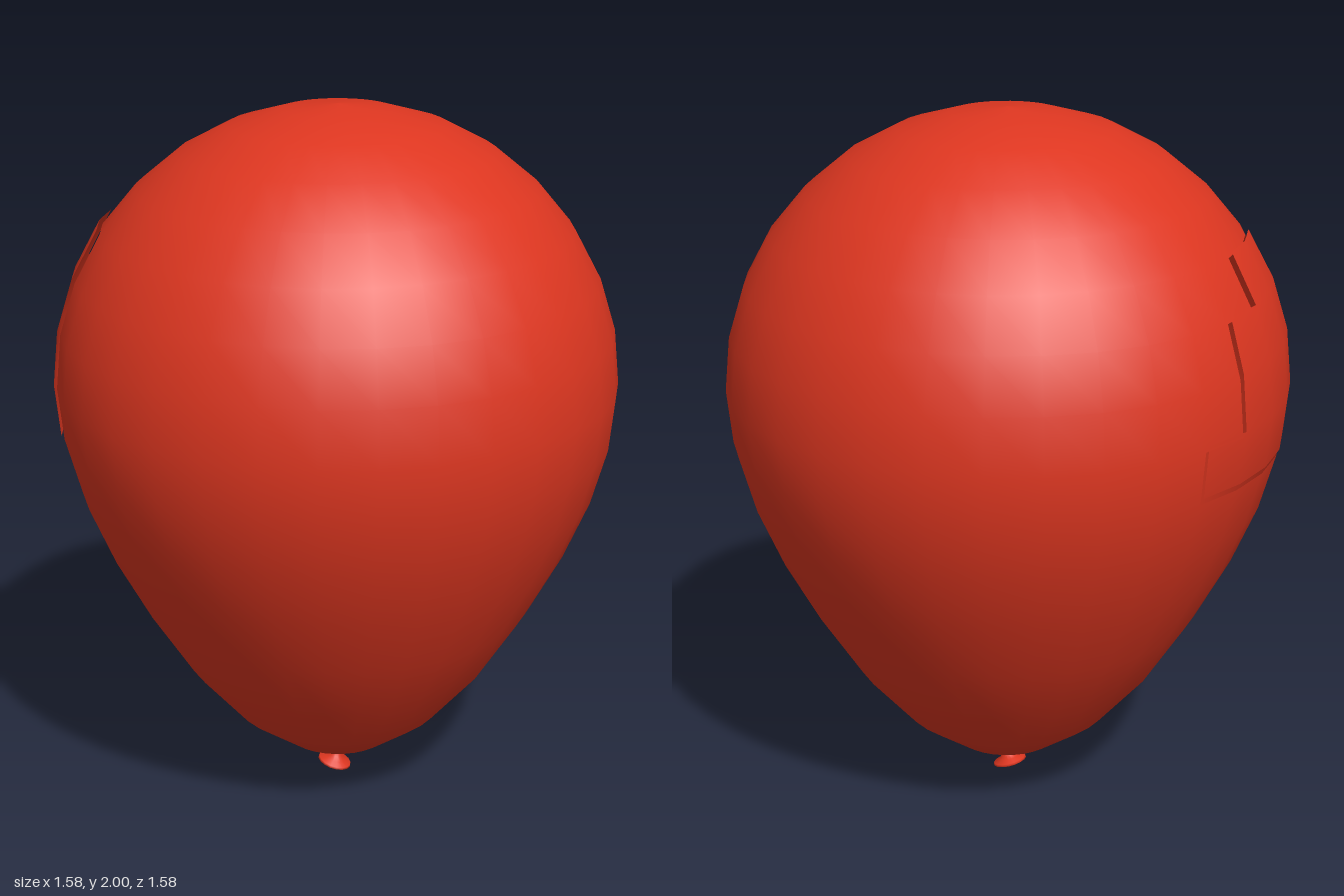
import * as THREE from 'three';

const SEGMENTS = 32;
const RADIUS = 0.788;
// Ring heights from the bottom to the crown
const HEIGHTS = [0.08, 0.115, 0.22, 0.375, 0.56, 0.74, 0.91, 1.07, 1.22,
  1.375, 1.52, 1.655, 1.772, 1.87, 1.942, 1.985, 2];
// Columns [first, last] of the loose patch, by row of faces
const PATCH = { 7: [22, 25], 8: [23, 25], 9: [23, 25], 10: [24, 25] };

function inPatch(column, row) {
  const span = PATCH[row];
  return span !== undefined && column >= span[0] && column <= span[1];
}

// Skin faces either inside or outside the patch, sharing the same smooth normals
function skinGeometry(wantPatch) {
  const rows = HEIGHTS.length - 1;
  const profile = HEIGHTS.map((y, k) =>
    new THREE.Vector2(RADIUS * Math.max(0, Math.sin(Math.PI * k / rows)), y));
  const geometry = new THREE.LatheGeometry(profile, SEGMENTS);
  const all = geometry.index.array;
  const kept = [];
  for (let column = 0; column < SEGMENTS; column++) {
    for (let row = 0; row < rows; row++) {
      if (inPatch(column, row) !== wantPatch) continue;
      const start = (column * rows + row) * 6;
      for (let n = 0; n < 6; n++) kept.push(all[start + n]);
    }
  }
  geometry.setIndex(kept);
  return geometry;
}

export function createModel() {
  const group = new THREE.Group();
  group.name = 'balloon';
  const rubber = new THREE.MeshStandardMaterial({ color: 0xdd3620, side: THREE.DoubleSide });

  const add = (name, geometry) => {
    const mesh = new THREE.Mesh(geometry, rubber);
    mesh.name = name;
    group.add(mesh);
    return mesh;
  };

  // Inflated skin, with a stepped patch slightly lifted away from it
  add('skin', skinGeometry(false));
  add('loosePatch', skinGeometry(true)).position.set(-0.004, 0.014, 0.012);

  // Tied neck with a small bead below the skin
  const neck = [[0.024, 0.085], [0.014, 0.076], [0.02, 0.069], [0.02, 0.063],
    [0.013, 0.056], [0.013, 0.045], [0.018, 0.035]];
  add('neck', new THREE.LatheGeometry(
    neck.reverse().map(([r, y]) => new THREE.Vector2(r, y)), 16)).position.x = -0.002;

  // Flared, tilted lip of the mouthpiece
  const lip = [[0, 0.012], [0.025, 0.001], [0.044, -0.006], [0.05, -0.003],
    [0.048, 0.003], [0.03, 0.01], [0.018, 0.022], [0.013, 0.032]];
  const mouth = add('lip', new THREE.LatheGeometry(
    lip.map(([r, y]) => new THREE.Vector2(r, y)), 16));
  mouth.position.set(-0.008, 0.02, 0.005);
  mouth.rotation.z = -0.29;

  return group;
}
